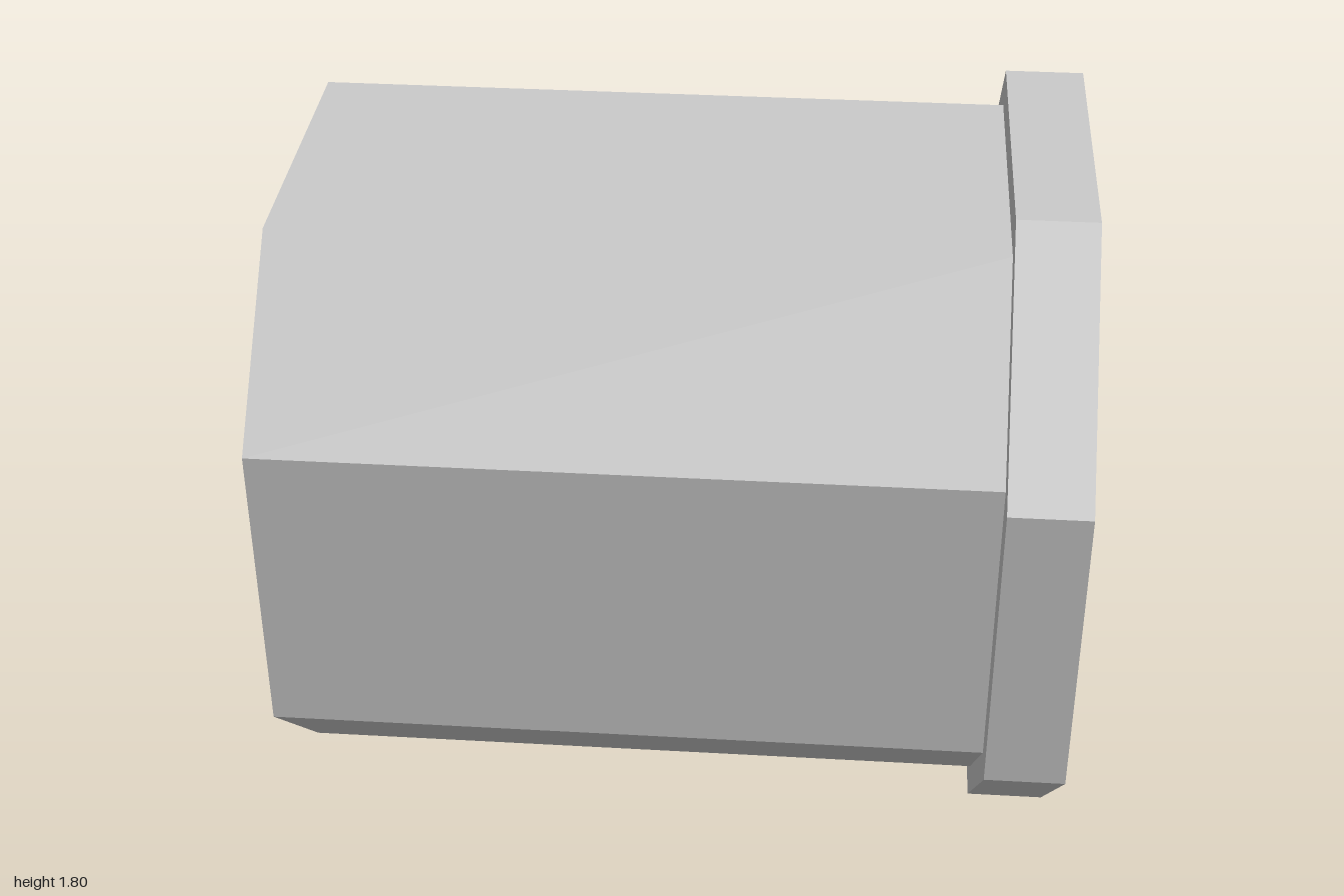
import * as THREE from 'three';

const material = new THREE.MeshStandardMaterial({ color: 0xcccccc, flatShading: true });
const AXIS_HEIGHT = 0.9;

// Octagon outline: flats at distance half, axis-aligned sides 2 * flat long
function octagon(PathType, half, flat) {
  const points = [
    [half, -flat], [half, flat], [flat, half], [-flat, half],
    [-half, flat], [-half, -flat], [-flat, -half], [flat, -half],
  ];
  return new PathType(points.map(([a, b]) => new THREE.Vector2(a, b)));
}

// Octagonal tube lying along x from x0 to x1
function octagonTube(name, half, x0, x1) {
  const shape = octagon(THREE.Shape, half, 0.4);
  shape.holes.push(octagon(THREE.Path, 0.6, 0.2));
  const geometry = new THREE.ExtrudeGeometry(shape, { depth: x1 - x0, bevelEnabled: false });
  geometry.rotateY(Math.PI / 2);
  geometry.translate(x0, 0, 0);
  const mesh = new THREE.Mesh(geometry, material);
  mesh.name = name;
  mesh.position.y = AXIS_HEIGHT;
  return mesh;
}

export function createModel() {
  const model = new THREE.Group();
  model.name = 'octagonalSocket';

  // Main sleeve and the wider collar at its +x end
  model.add(octagonTube('sleeve', 0.8, -1, 0.8));
  model.add(octagonTube('collar', 0.9, 0.8, 1));

  // Inner teeth: ramped from the -x mouth, with a square back
  const profile = new THREE.Shape([
    new THREE.Vector2(-1, 0.6), new THREE.Vector2(-0.8, 0.4),
    new THREE.Vector2(-0.7, 0.4), new THREE.Vector2(-0.7, 0.6),
  ]);
  const toothGeometry = new THREE.ExtrudeGeometry(profile, { depth: 0.2, bevelEnabled: false });
  toothGeometry.translate(0, 0, -0.1);

  const teeth = new THREE.Group();
  teeth.name = 'teeth';
  teeth.position.y = AXIS_HEIGHT;
  for (let i = 0; i < 8; i++) {
    const tooth = new THREE.Mesh(toothGeometry, material);
    tooth.name = 'tooth';
    tooth.rotation.x = i * Math.PI / 4;
    teeth.add(tooth);
  }
  model.add(teeth);

  return model;
}
